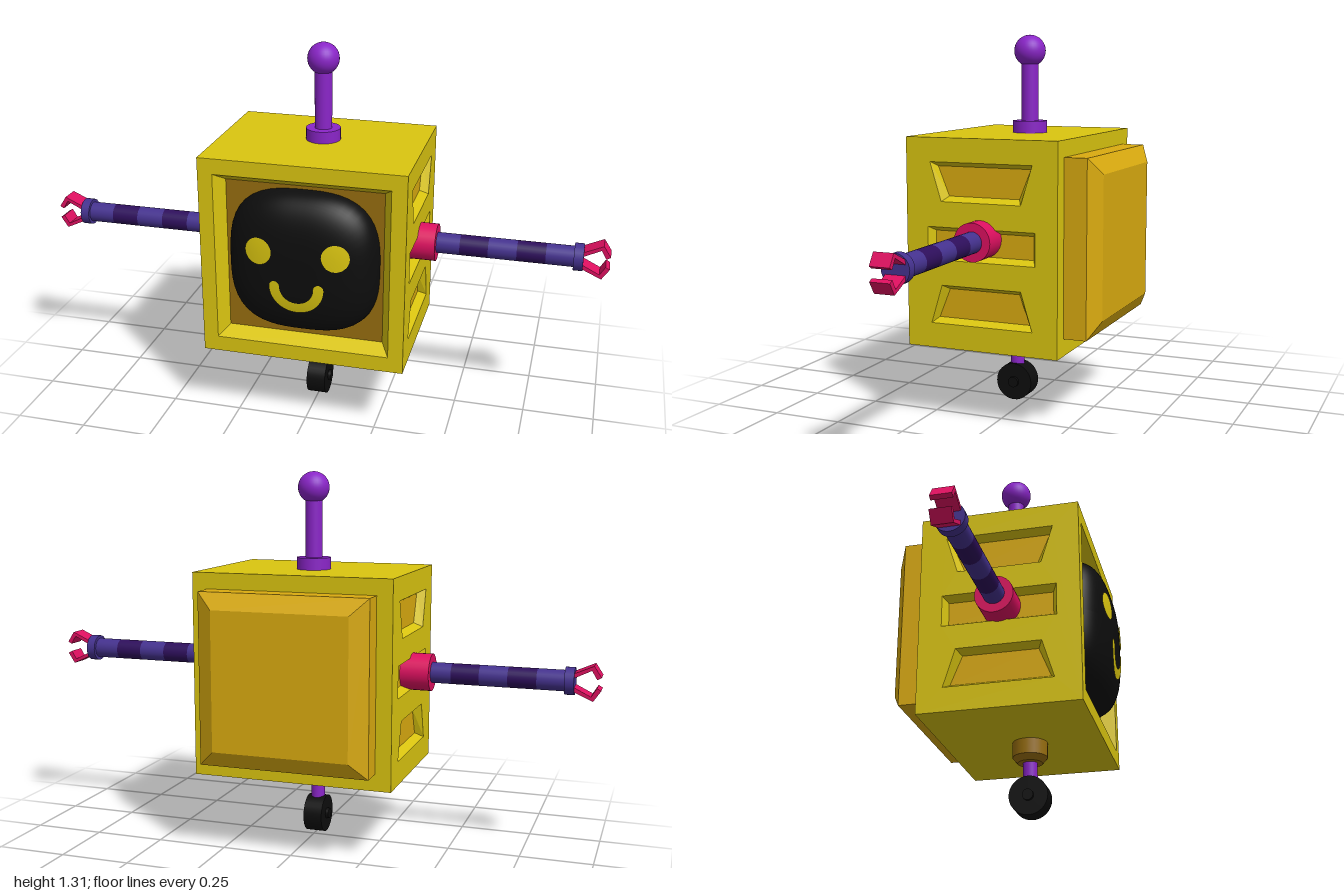
import * as THREE from 'three';

const mat = (name, color, extra = {}) => {
  const m = new THREE.MeshStandardMaterial({ color, ...extra });
  m.name = name;
  return m;
};

export function createModel() {
  const yellow = mat('yellow', 0xdac510, { side: THREE.DoubleSide });
  const amber = mat('amber', 0xdaab10, { side: THREE.DoubleSide });
  const brown = mat('brown', 0x966d0f, { side: THREE.DoubleSide });
  const purple = mat('purple', 0x8a25c8);
  const blue = mat('blue', 0x45328f);
  const indigo = mat('indigo', 0x2e0f5c);
  const pink = mat('pink', 0xde1060);
  const black = mat('black', 0x0d0d0d);

  const model = new THREE.Group();
  model.name = 'robot';
  const add = (parent, name, geo, material, x = 0, y = 0, z = 0) => {
    const mesh = new THREE.Mesh(geo, material);
    mesh.name = name;
    mesh.position.set(x, y, z);
    parent.add(mesh);
    return mesh;
  };
  const group = (parent, name) => {
    const g = new THREE.Group();
    g.name = name;
    parent.add(g);
    return g;
  };
  const cyl = (rTop, rBottom, h, n = 28) => new THREE.CylinderGeometry(rTop, rBottom, h, n);

  // Symmetric trapezoid, corners counter-clockwise
  const trapezoid = (topHalf, bottomHalf, y0, y1) =>
    [[-bottomHalf, y0], [bottomHalf, y0], [topHalf, y1], [-topHalf, y1]];
  const toShape = pts => new THREE.Shape(pts.map(p => new THREE.Vector2(...p)));

  // Sloping wall from an outline down to a smaller outline
  const slopedWall = (outer, inner, depth) => {
    const pos = [];
    outer.forEach((a, i) => {
      const j = (i + 1) % outer.length;
      const b = outer[j], c = inner[j], d = inner[i];
      pos.push(...a, 0, ...b, 0, ...c, -depth, ...a, 0, ...c, -depth, ...d, -depth);
    });
    const g = new THREE.BufferGeometry();
    g.setAttribute('position', new THREE.Float32BufferAttribute(pos, 3));
    g.computeVertexNormals();
    return g;
  };

  // Flat panel with bevelled recesses
  const panel = (parent, name, halfW, halfH, recesses, inset, depth, floorMat) => {
    const g = group(parent, name);
    const shape = toShape(trapezoid(halfW, halfW, -halfH, halfH));
    recesses.forEach(r => shape.holes.push(toShape(r)));
    add(g, name + 'Face', new THREE.ShapeGeometry(shape), yellow);
    for (const r of recesses) {
      const cy = (r[0][1] + r[2][1]) / 2;
      const inner = r.map(([x, y]) => [x - Math.sign(x) * inset, y - Math.sign(y - cy) * inset]);
      add(g, 'recessWall', slopedWall(r, inner, depth), yellow);
      add(g, 'recessFloor', new THREE.ShapeGeometry(toShape(inner)), floorMat, 0, 0, -depth);
    }
    return g;
  };

  // Body shell
  const W = 0.355, H = 0.3565, D = 0.2725;
  const body = group(model, 'body');
  body.position.set(0, 0.6165, 0.0255);
  panel(body, 'frontPanel', W, H, [trapezoid(0.303, 0.303, -0.302, 0.302)], 0.03, 0.05, brown).position.z = D;
  const back = panel(body, 'backPanel', W, H, [], 0, 0, brown);
  back.position.z = -D;
  back.rotation.y = Math.PI;
  for (const s of [1, -1]) {
    const lid = panel(body, s > 0 ? 'topPanel' : 'bottomPanel', W, D, [], 0, 0, brown);
    lid.position.y = s * H;
    lid.rotation.x = -s * Math.PI / 2;
    const side = panel(body, s > 0 ? 'leftPanel' : 'rightPanel', D, H, [
      trapezoid(0.184, 0.1435, 0.1435, 0.2755),
      trapezoid(0.194, 0.194, -0.054, 0.0575),
      trapezoid(0.1435, 0.184, -0.272, -0.14),
    ], 0.016, 0.03, amber);
    side.position.x = s * W;
    side.rotation.y = s * Math.PI / 2;
  }

  // Back hatch with a bevelled outer face
  add(model, 'hatchBase', new THREE.BoxGeometry(0.6, 0.598, 0.08), amber, 0, 0.618, -0.286);
  let bevel = new THREE.BoxGeometry(0.6, 0.598, 0.035).toNonIndexed();
  const bp = bevel.attributes.position;
  for (let i = 0; i < bp.count; i++) {
    if (bp.getZ(i) < 0) bp.setXY(i, bp.getX(i) * 0.8, bp.getY(i) * 0.81);
  }
  bevel.computeVertexNormals();
  add(model, 'hatchBevel', bevel, amber, 0, 0.618, -0.3435);

  // Domed screen: a rounded-square bulge
  const N = 2.9, A = 0.262, B = 0.255, C = 0.141, faceY = 0.623, faceZ = 0.216;
  const dome = new THREE.SphereGeometry(1, 56, 28, 0, Math.PI * 2, 0, Math.PI / 2).rotateX(Math.PI / 2);
  const dp = dome.attributes.position;
  for (let i = 0; i < dp.count; i++) {
    const p = [dp.getX(i), dp.getY(i), dp.getZ(i)];
    const k = p.reduce((s, v) => s + Math.abs(v) ** N, 0) ** (-1 / N);
    dp.setXYZ(i, p[0] * k * A, p[1] * k * B, p[2] * k * C);
  }
  dome.computeVertexNormals();
  const face = group(model, 'face');
  face.position.set(0, faceY, faceZ);
  add(face, 'screen', dome, black);

  // Thin features that follow the dome
  const decal = (name, geo, x, y) => {
    geo.translate(x, y, 0);
    const p = geo.attributes.position;
    for (let i = 0; i < p.count; i++) {
      const r = Math.abs(p.getX(i) / A) ** N + Math.abs(p.getY(i) / B) ** N;
      p.setZ(i, C * (1 - r) ** (1 / N) + 0.004);
    }
    geo.computeVertexNormals();
    add(face, name, geo, yellow);
  };
  const disc = r => new THREE.RingGeometry(0, r, 28, 4);
  const smileR = 0.076, smileT = 0.018, smileY = -0.056;
  decal('smile', new THREE.RingGeometry(smileR - smileT, smileR + smileT, 32, 3, Math.PI, Math.PI), 0, smileY);
  for (const s of [1, -1]) {
    decal('eye', disc(0.047), s * 0.132, 0.061);
    decal('smileEnd', disc(smileT), s * smileR, smileY);
  }

  // Antenna
  const antenna = group(model, 'antenna');
  add(antenna, 'antennaBase', cyl(0.06, 0.06, 0.045), purple, 0, 0.992, -0.002);
  add(antenna, 'antennaRod', cyl(0.03, 0.03, 0.24), purple, 0, 1.11, -0.002);
  add(antenna, 'antennaBall', new THREE.SphereGeometry(0.055, 32, 20), purple, 0, 1.257, -0.002);

  // Wheel and its mount
  const leg = group(model, 'wheelLeg');
  leg.position.z = 0.047;
  add(leg, 'mount', cyl(0.06, 0.06, 0.055), brown, 0, 0.235, 0);
  add(leg, 'mountTaper', cyl(0.06, 0.043, 0.02), brown, 0, 0.198, 0);
  add(leg, 'legRod', cyl(0.025, 0.025, 0.1), purple, 0, 0.15, 0);
  add(leg, 'wheel', cyl(0.067, 0.067, 0.068, 32).rotateZ(Math.PI / 2), black, 0, 0.068, 0);
  add(leg, 'wheelHub', cyl(0.019, 0.019, 0.09).rotateZ(Math.PI / 2), black, 0, 0.068, 0);

  // One bent claw finger, drawn in profile and extruded across the hand
  const claw = s => {
    const pts = [[0.9, 0.01], [0.968, 0.044], [0.986, 0.014], [1, 0.022], [0.975, 0.06], [0.9, 0.026]];
    const shape = toShape(pts.map(([x, y]) => [x, s * y]));
    return new THREE.ExtrudeGeometry(shape, { depth: 0.066, bevelEnabled: false }).translate(0, 0, -0.033);
  };

  // Arms, built along +x and turned round for the other side
  for (const s of [1, -1]) {
    const arm = group(model, s > 0 ? 'leftArm' : 'rightArm');
    arm.position.set(0, s > 0 ? 0.64 : 0.623, 0.028);
    if (s < 0) arm.rotation.y = Math.PI;
    const tube = (name, r, x0, x1, m) =>
      add(arm, name, cyl(r, r, x1 - x0).rotateZ(Math.PI / 2), m, (x0 + x1) / 2, 0, 0);
    tube('shoulder', 0.065, 0.32, s > 0 ? 0.416 : 0.426, pink);
    for (let i = 0; i < 5; i++) {
      const x0 = 0.4 + i * 0.097;
      tube('armBand', 0.036, x0, x0 + 0.097, i % 2 ? indigo : blue);
    }
    tube('wrist', 0.047, 0.88, 0.912, blue);
    add(arm, 'upperClaw', claw(1), pink);
    add(arm, 'lowerClaw', claw(-1), pink);
  }
  return model;
}
